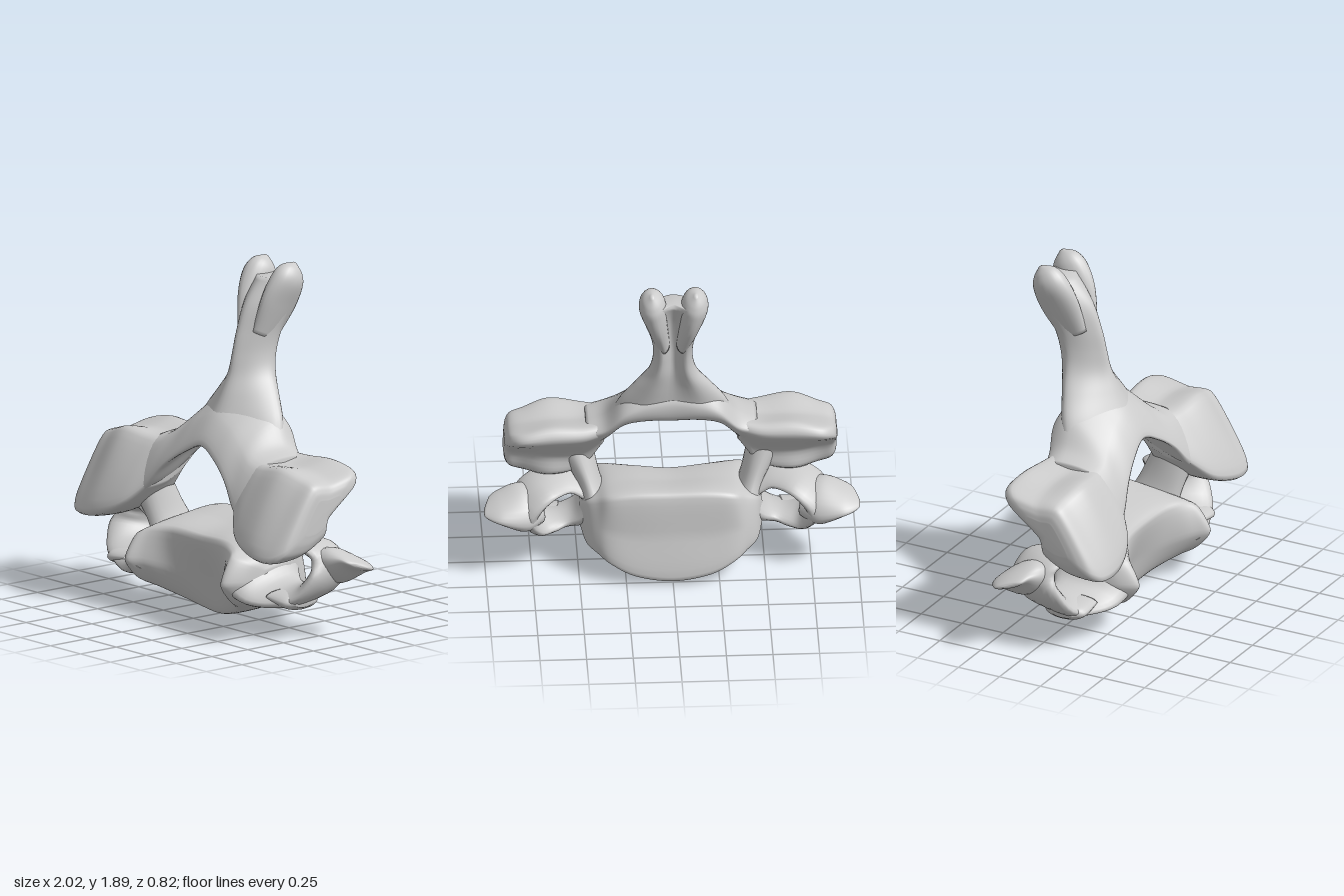
import * as THREE from 'three';

const V = (x, y, z) => new THREE.Vector3(x, y, z);
const material = new THREE.MeshStandardMaterial({ color: 0xcccccc, roughness: 0.8 });

// Smooth closed skin through a row of closed cross-sections, capped at both ends.
function loft(sections, around = 40, along = 32, tension = 0.4) {
  const rings = sections.map((s) => {
    const c = new THREE.CatmullRomCurve3(s, true, 'catmullrom', tension);
    return Array.from({ length: around }, (_, i) => c.getPoint(i / around));
  });
  const pos = [], index = [];
  const columns = rings[0].map((_, i) =>
    new THREE.CatmullRomCurve3(rings.map((r) => r[i]), false, 'catmullrom', 0.5));
  for (let j = 0; j <= along; j++) {
    for (const c of columns) pos.push(...c.getPoint(j / along).toArray());
  }
  for (let j = 0; j < along; j++) {
    for (let i = 0; i < around; i++) {
      const a = j * around + i, b = j * around + (i + 1) % around;
      index.push(a, b, a + around, b, b + around, a + around);
    }
  }
  for (const j of [0, along]) {
    const mid = V(0, 0, 0);
    for (let i = 0; i < around; i++) {
      mid.add(V(0, 0, 0).fromArray(pos, (j * around + i) * 3).divideScalar(around));
    }
    const m = pos.length / 3;
    pos.push(...mid.toArray());
    for (let i = 0; i < around; i++) {
      const a = j * around + i, b = j * around + (i + 1) % around;
      index.push(...(j ? [a, b, m] : [b, a, m]));
    }
  }
  // Turn all faces outward if the enclosed volume comes out negative.
  const at = (i) => V(0, 0, 0).fromArray(pos, i * 3);
  let volume = 0;
  for (let i = 0; i < index.length; i += 3) {
    volume += at(index[i]).dot(at(index[i + 1]).cross(at(index[i + 2])));
  }
  if (volume < 0) index.reverse();
  const g = new THREE.BufferGeometry();
  g.setAttribute('position', new THREE.Float32BufferAttribute(pos, 3));
  g.setIndex(index);
  g.computeVertexNormals();
  return g;
}

// Cross-sections at given x, each a list of [z, y] points.
const slices = (rows) => rows.map(([x, pts]) => pts.map(([z, y]) => V(x, y, z)));

// Same rows repeated on the far side, so the loft runs from -x to +x.
const mirroredSlices = (rows) =>
  slices([...rows.slice(1).reverse().map(([x, p]) => [-x, p]), ...rows]);

// Rounds off the last row with copies [x, scale] shrunk toward its centre.
function roundEnd(rows, steps) {
  const last = rows[rows.length - 1][1];
  const mid = [0, 1].map((k) => last.reduce((sum, p) => sum + p[k], 0) / last.length);
  const shrunk = steps.map(([x, scale]) =>
    [x, last.map((p) => p.map((v, k) => mid[k] + (v - mid[k]) * scale))]);
  return [...rows, ...shrunk];
}

// Elliptic sections along a path of [x, y, z, half thickness, half depth in z],
// with the depth axis tilted sideways by the given slope.
function limb(path, s, tilt = 0) {
  const pts = path.map((p) => V(p[0] * s, p[1], p[2]));
  return loft(path.map(([, , , a, b], i) => {
    const dir = pts[Math.min(i + 1, pts.length - 1)].clone().sub(pts[Math.max(i - 1, 0)]);
    dir.normalize();
    const across = dir.clone().cross(V(0, 0, 1)).normalize();
    const deep = across.clone().cross(dir).addScaledVector(across, tilt * s).normalize();
    return Array.from({ length: 8 }, (_, k) => {
      const t = k * Math.PI / 4;
      return pts[i].clone().addScaledVector(across, a * Math.cos(t)).addScaledVector(deep, b * Math.sin(t));
    });
  }), 24, 36, 0.5);
}

export function createModel() {
  const group = new THREE.Group();
  const add = (name, geometry) => {
    const mesh = new THREE.Mesh(geometry, material);
    mesh.name = name;
    group.add(mesh);
  };

  // Block-shaped body with a saddle-shaped front plate and raised side lips
  add('body', loft(mirroredSlices(roundEnd([
    [0, [[-.29, .03], [-.1, .015], [.08, .005], [.14, .2], [.2, .44], [0, .49], [-.2, .52], [-.24, .28]]],
    [.2, [[-.28, .06], [-.1, .05], [.12, .05], [.2, .22], [.22, .45], [0, .5], [-.2, .52], [-.235, .28]]],
    [.33, [[-.25, .12], [-.1, .11], [.21, .11], [.32, .26], [.26, .44], [0, .49], [-.19, .5], [-.22, .3]]],
    [.4, [[-.2, .16], [-.05, .14], [.28, .15], [.39, .27], [.3, .41], [.05, .45], [-.14, .46], [-.19, .3]]],
  ], [[.46, .75], [.49, .35]])), 48, 60, 0.28));

  // Sloping arch plates that roof the canal
  add('laminae', loft(mirroredSlices([
    [0, [[.2, .94], [0, .97], [-.18, .98], [-.2, 1.1], [-.08, 1.22], [.1, 1.1]]],
    [.14, [[.22, .88], [.04, .93], [-.18, .98], [-.21, 1.08], [-.11, 1.18], [.11, 1.05]]],
    [.26, [[.25, .79], [.06, .86], [-.17, .95], [-.21, 1.03], [-.11, 1.1], [.13, .97]]],
    [.36, [[.28, .67], [.08, .72], [-.12, .84], [-.18, .92], [-.08, .97], [.16, .91]]],
    [.46, [[.3, .6], [.1, .62], [-.08, .78], [-.16, .88], [-.06, .92], [.16, .88]]],
  ]), 40, 48, 0.4));

  // Spinous process: wedge with a ridge in front and a groove behind
  // rows: y, half width, front z, back z, groove z
  add('spinousProcess', loft([
    [1.0, .32, .15, -.18, -.18],
    [1.1, .275, .095, -.2, -.19],
    [1.2, .205, .045, -.225, -.2],
    [1.3, .135, 0, -.25, -.21],
    [1.4, .107, -.025, -.27, -.215],
    [1.52, .11, -.055, -.305, -.23],
    [1.67, .145, -.115, -.365, -.28],
    [1.81, .165, -.225, -.4, -.35],
  ].map(([y, w, f, b, n]) => {
    const m = (f + b) / 2;
    const half = [[.5 * w, f * .6 + m * .4], [.88 * w, m], [w, m * .4 + b * .6], [.6 * w, b]];
    return [
      V(0, y, f), ...half.map(([x, z]) => V(x, y, z)), V(0, y - .01, n),
      ...half.reverse().map(([x, z]) => V(-x, y, z)),
    ];
  }), 48, 48, 0.5));

  for (const [side, s] of [['left', 1], ['right', -1]]) {
    // Rounded lobes of the forked spine
    add(side + 'SpineLobe', limb([
      [.055, 1.5, -.2, .04, .09], [.09, 1.67, -.265, .06, .12],
      [.113, 1.79, -.31, .074, .105], [.117, 1.85, -.34, .055, .072],
      [.118, 1.885, -.365, .008, .012],
    ], s));

    // Articular pillar with its tilted front facet
    add(side + 'ArticularPillar', loft(slices(roundEnd([
      [.36, [[.27, .67], [.12, .68], [.02, .73], [-.04, .78], [-.15, .88], [-.13, .93], [0, .93], [.14, .89], [.23, .77]]],
      [.48, [[.365, .55], [.2, .535], [.03, .57], [0, .67], [-.185, .86], [-.15, .925], [0, .9], [.165, .9], [.3, .71]]],
      [.65, [[.41, .485], [.2, .46], [.01, .54], [0, .66], [-.2, .86], [-.16, .935], [0, .9], [.18, .92], [.32, .71]]],
      [.79, [[.4, .47], [.22, .465], [.06, .55], [.02, .67], [-.2, .85], [-.17, .91], [0, .88], [.155, .88], [.29, .69]]],
    ], [[.86, .86], [.885, .65], [.893, .4]]).map(([x, p]) => [x * s, p])), 48, 42, 0.35));

    // Pedicle joining body and pillar
    add(side + 'Pedicle', limb([
      [.4, .34, .03, .08, .16], [.44, .48, .07, .065, .13], [.52, .68, .13, .1, .12],
    ], s));

    // Transverse process: a funnel-shaped strap round the side opening
    add(side + 'TransverseRing', limb([
      [.4, .3, .12, .1, .24], [.5, .235, .12, .06, .2], [.6, .22, .1, .045, .16],
      [.7, .235, .06, .055, .16], [.77, .3, 0, .06, .16], [.785, .39, -.05, .065, .15],
      [.72, .47, -.03, .045, .15], [.6, .5, .04, .035, .13], [.49, .47, .07, .04, .13],
      [.41, .41, .06, .05, .12],
    ], s, 0.22));
    add(side + 'RearTubercle', limb([
      [.74, .39, -.03, .09, .12], [.82, .39, -.08, .095, .14],
      [.92, .41, -.105, .045, .12], [.985, .41, -.095, .02, .08], [1, .41, -.09, .006, .03],
    ], s, -0.3));
    add(side + 'FrontTubercle', limb([
      [.6, .22, .11, .035, .13], [.73, .205, .12, .045, .12], [.775, .2, .12, .02, .06],
    ], s));
  }
  return group;
}
